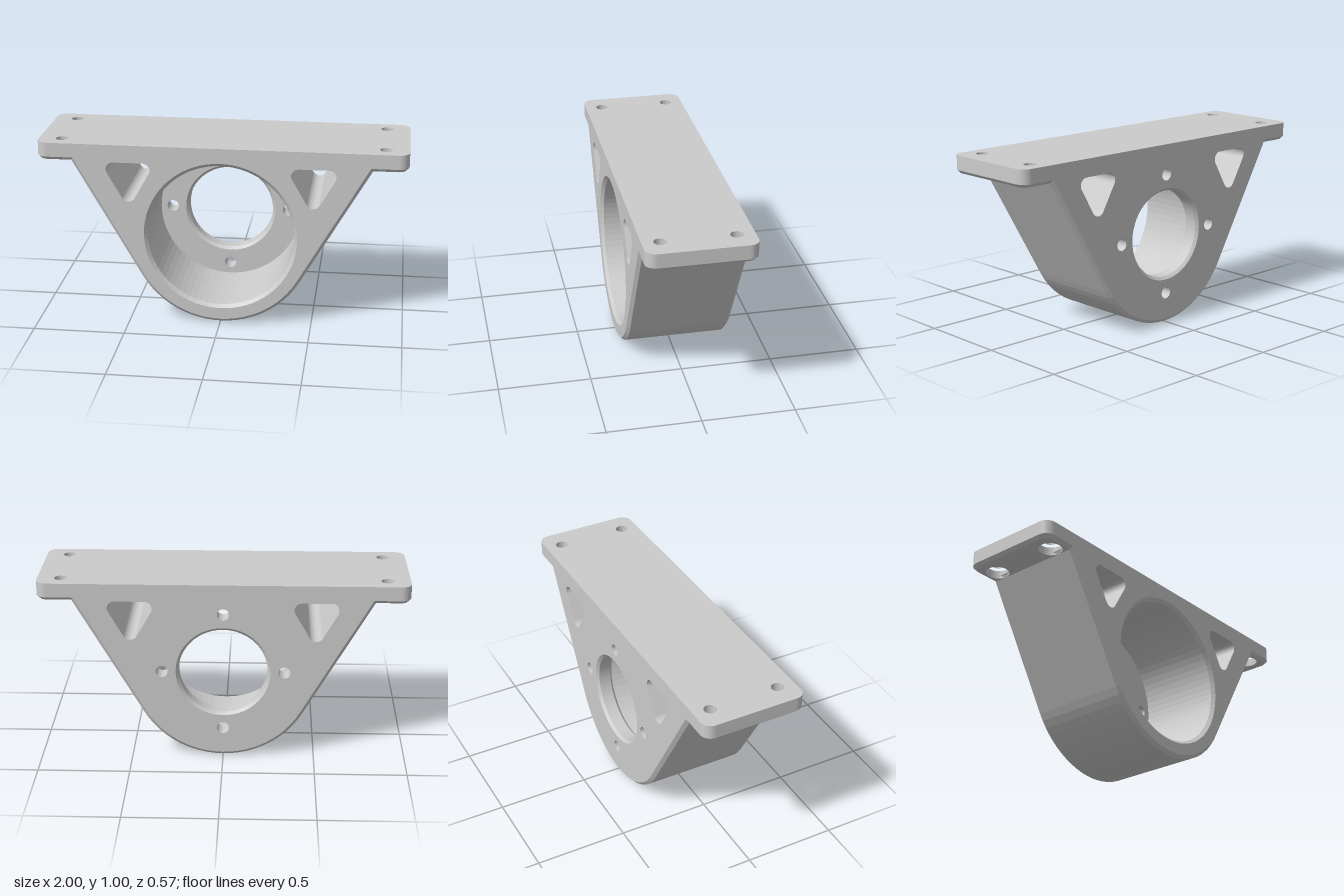
import * as THREE from 'three';
import { mergeGeometries } from 'three/addons/utils/BufferGeometryUtils.js';

const RAD = Math.PI / 180;
const HALF = 0.287;   // half depth of the bracket
const CH = 0.018;     // edge chamfer
const TOP = 0.922;    // top of the housing, inside the plate
const AXIS = 0.5;     // height of the bore axis
const WIN = 0.5;      // x of the window centre

const pt = (x, y) => new THREE.Vector2(x, y);
const mirrored = (pts, about = 0) => pts.map((p) => pt(2 * about - p.x, p.y));

// Points along an arc, angles in degrees
function arc(cx, cy, r, from, to, n) {
  return Array.from({ length: n + 1 }, (_, i) => {
    const a = (from + (to - from) * (i / n)) * RAD;
    return pt(cx + r * Math.cos(a), cy + r * Math.sin(a));
  });
}
const circle = (cx, cy, r, n) => arc(cx, cy, r, 0, 360, n).slice(0, -1);
const ring = (r) => circle(0, AXIS, r, 72);

// Rectangle with rounded corners, from its corner arc centres
const roundedRect = (x, y, r) => [[x, y], [-x, y], [-x, -y], [x, -y]]
  .flatMap(([cx, cy], i) => arc(cx, cy, r, i * 90, i * 90 + 90, 10));

// Right half of the housing outline, inset by c: round bottom, then a tangent
// side at 60 degrees (with a point below the window), then the top
function halfOutline(c) {
  const bottom = arc(0, AXIS, 0.5 - c, -90, -30, 12);
  const end = bottom[bottom.length - 1], slope = Math.tan(60 * RAD);
  return {
    bottom,
    side: pt(WIN, end.y + (WIN - end.x) * slope),
    corner: pt(end.x + (TOP - end.y) / slope, TOP),
  };
}

function housingOutline(c) {
  const { bottom, side, corner } = halfOutline(c);
  const right = [...bottom, side, corner, pt(WIN, TOP), pt(0, TOP)];
  return [...right, ...mirrored(right.slice(1, -1)).reverse()];
}

// Right half of the rounded triangular window, bottom to top
const halfWindow = [
  ...arc(WIN, 0.724, 0.04, -90, -30, 5),
  ...arc(WIN + 0.08, 0.863, 0.04, -30, 90, 10),
  pt(WIN, 0.903),
];

// ---- surfaces ----
// Wall through a stack of [loop, z]; inward = wall of a hole
function wall(stack, inward = false) {
  const pos = [];
  for (let s = 0; s < stack.length - 1; s++) {
    const [a, za] = stack[s], [b, zb] = stack[s + 1];
    a.forEach((p, i) => {
      const j = (i + 1) % a.length;
      const A = [p.x, p.y, za], B = [a[j].x, a[j].y, za];
      const C = [b[j].x, b[j].y, zb], D = [b[i].x, b[i].y, zb];
      pos.push(...(inward ? [A, C, B, A, D, C] : [A, B, C, A, C, D]).flat());
    });
  }
  const g = new THREE.BufferGeometry();
  g.setAttribute('position', new THREE.Float32BufferAttribute(pos, 3));
  return g;
}

// Flat face with holes at height z, facing +z or -z
function face(outer, holes, z, up) {
  const shape = new THREE.Shape(outer);
  shape.holes = holes.map((h) => new THREE.Path(h));
  const g = new THREE.ShapeGeometry(shape);
  if (!up) g.setIndex(Array.from(g.index.array).reverse());
  g.translate(0, 0, z);
  const flat = g.toNonIndexed();
  flat.deleteAttribute('uv');
  flat.deleteAttribute('normal');
  return flat;
}

// Housing end face around the bore, cut through the windows into four pieces
function endFace(z, up) {
  const { bottom, side, corner } = halfOutline(CH);
  const inner = [...bottom, side, ...mirrored(halfWindow, WIN), pt(WIN, TOP), pt(0, TOP),
    ...arc(0, AXIS, 0.418, 90, -90, 36)];
  const outer = [side, corner, pt(WIN, TOP), ...[...halfWindow].reverse()];
  return [inner, outer].flatMap((p) => [face(p, [], z, up), face(mirrored(p), [], z, up)]);
}

// Annulus round the bore with four bolt holes, in eight mirrored sectors
function boltFace(outerR, z, up) {
  const sector = [...arc(0, 0, 0.257, 0, 45, 9), ...arc(0, 0, outerR, 45, 0, 9),
    ...arc(0.333, 0, 0.033, 0, 180, 12)];
  return [0, 90, 180, 270].flatMap((turn) => [1, -1].map((s) => face(
    sector.map((p) => pt(p.x, s * p.y).rotateAround(pt(0, 0), turn * RAD).add(pt(0, AXIS))),
    [], z, up)));
}

function solid(name, parts) {
  const g = mergeGeometries(parts);
  g.computeVertexNormals();
  const mesh = new THREE.Mesh(g, new THREE.MeshStandardMaterial({ color: 0xcccccc }));
  mesh.name = name;
  return mesh;
}

// Bearing housing with deep front pocket, rear bore, bolt holes and windows
function makeHousing() {
  const full = housingOutline(0), inset = housingOutline(CH);
  const floor = -0.19;
  const bolts = [0, 90, 180, 270].map((a) =>
    circle(0.333 * Math.cos(a * RAD), AXIS + 0.333 * Math.sin(a * RAD), 0.033, 24));
  const leftWindow = [...halfWindow, ...mirrored(halfWindow.slice(1, -1), WIN).reverse()];
  const windows = [leftWindow, mirrored(leftWindow).reverse()];
  return solid('bearingHousing', [
    wall([[inset, -HALF], [full, -HALF + CH], [full, HALF - CH], [inset, HALF]]),
    ...endFace(HALF, true),
    ...endFace(-HALF, false),
    ...boltFace(0.418, -HALF, false),
    // pocket and its floor
    wall([[ring(0.4), floor], [ring(0.4), HALF - CH], [ring(0.418), HALF]], true),
    ...boltFace(0.4, floor, true),
    // rear bore, chamfered at both ends
    wall([[ring(0.257), -HALF], [ring(0.242), -HALF + 0.015],
      [ring(0.242), floor - 0.015], [ring(0.257), floor]], true),
    ...bolts.map((b) => wall([[b, -HALF], [b, floor]], true)),
    ...windows.map((w) => wall([[w, -HALF], [w, HALF]], true)),
  ]);
}

// Mounting plate with chamfered underside and counterbored screw holes
function makePlate() {
  const bottom = TOP - CH, seat = 0.95, top = 1, r = 0.057;
  const full = roundedRect(1 - r, HALF - r, r), inset = roundedRect(1 - r, HALF - r, r - CH);
  const spots = [-1, 1].flatMap((sx) => [-1, 1].map((sy) => [sx * 0.875, sy * 0.193]));
  const holes = spots.map(([u, v]) => circle(u, v, 0.034, 32));
  const bores = spots.map(([u, v]) => circle(u, v, 0.063, 32));
  const plate = solid('mountingPlate', [
    wall([[inset, bottom], [full, TOP], [full, top]]),
    face(full, holes, top, true),
    face(inset, bores, bottom, false),
    ...spots.flatMap((_, i) => [
      wall([[bores[i], bottom], [bores[i], seat]], true),
      wall([[holes[i], seat], [bores[i], seat]], true),
      wall([[holes[i], seat], [holes[i], top]], true),
    ]),
  ]);
  plate.geometry.rotateX(-Math.PI / 2);
  return plate;
}

export function createModel() {
  const group = new THREE.Group();
  group.name = 'bearingBracket';
  group.add(makeHousing(), makePlate());
  return group;
}
